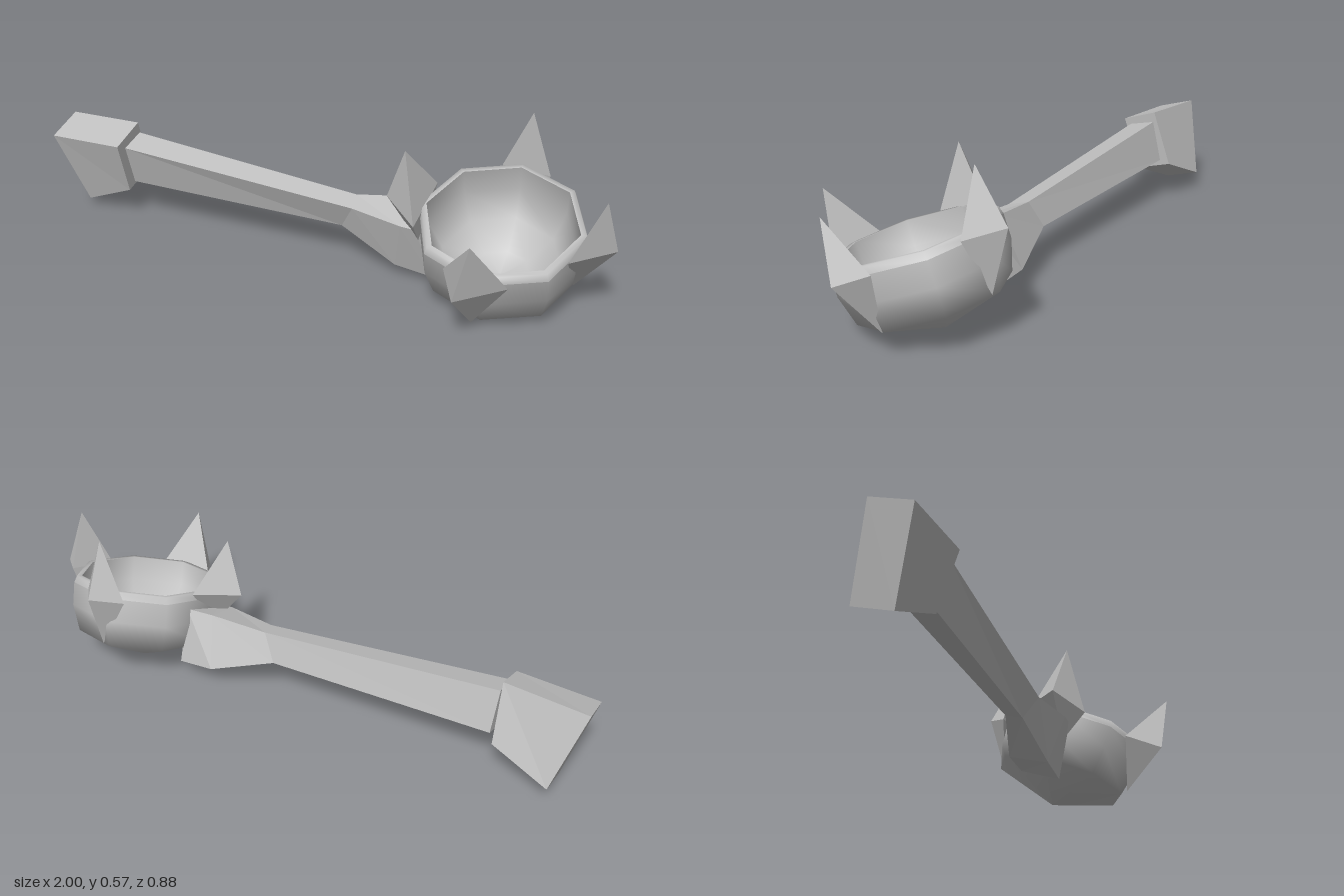
import * as THREE from 'three';
import { ConvexGeometry } from 'three/addons/geometries/ConvexGeometry.js';

const grey = new THREE.MeshStandardMaterial({ color: 0xc0c0c0 });
grey.name = 'stone grey';

function part(name, geometry) {
  const mesh = new THREE.Mesh(geometry, grey);
  mesh.name = name;
  return mesh;
}

// Flat-shaded loft through four-cornered sections running along +x.
// Corner order: top back, top front, bottom front, bottom back.
function loft(sections) {
  const pos = [];
  const tri = (a, b, c) => pos.push(...a, ...b, ...c);
  for (let s = 0; s < sections.length - 1; s++) {
    const p = sections[s], q = sections[s + 1];
    for (let i = 0; i < 4; i++) {
      const j = (i + 1) % 4;
      tri(p[i], p[j], q[j]);
      tri(p[i], q[j], q[i]);
    }
  }
  const a = sections[0], b = sections[sections.length - 1];
  tri(a[0], a[3], a[2]);
  tri(a[0], a[2], a[1]);
  tri(b[0], b[1], b[2]);
  tri(b[0], b[2], b[3]);
  const g = new THREE.BufferGeometry();
  g.setAttribute('position', new THREE.Float32BufferAttribute(pos, 3));
  g.computeVertexNormals();
  return g;
}

// Eight-sided turned surface, smooth along its profile of [radius, height]
function turned(name, profile) {
  const pts = profile.map(([r, y]) => new THREE.Vector2(r, y));
  return part(name, new THREE.LatheGeometry(pts, 8, THREE.MathUtils.degToRad(64)));
}

export function createModel() {
  const model = new THREE.Group();
  model.name = 'spikedLadle';

  // Tilted bowl: outer shell, bevelled lip and hollow inside
  const bowl = new THREE.Group();
  bowl.name = 'bowl';
  bowl.add(
    turned('bowlShell', [[0, -0.31], [0.25, -0.21], [0.278, -0.11], [0.277, -0.025]]),
    turned('bowlLip', [[0.277, -0.025], [0.268, 0], [0.25, 0]]),
    turned('bowlInside', [[0.25, 0], [0.245, -0.09], [0.2, -0.19], [0.1, -0.25], [0, -0.265]])
  );
  bowl.position.set(0.645, 0.3, -0.1);
  bowl.quaternion.setFromUnitVectors(
    new THREE.Vector3(0, 1, 0), new THREE.Vector3(0.14, 1, 0.29).normalize());
  model.add(bowl);

  // Spikes around the rim: tip, outer ridge, foot, two side corners
  const spikes = {
    frontSpike: [[0.757, 0.38, 0.25], [0.7, 0.173, 0.245], [0.68, 0.025, 0.1], [0.6, 0.21, 0.15], [0.81, 0.2, 0.11]],
    leftSpike: [[0.98, 0.45, -0.14], [0.997, 0.263, -0.208], [0.85, 0.08, -0.225], [0.9, 0.24, -0.08], [0.9, 0.29, -0.262]],
    backSpike: [[0.59, 0.573, -0.34], [0.55, 0.397, -0.44], [0.57, 0.175, -0.385], [0.49, 0.36, -0.335], [0.66, 0.36, -0.36]],
    rightSpike: [[0.367, 0.503, 0.05], [0.287, 0.315, 0.035], [0.4, 0.165, 0.0], [0.385, 0.34, -0.11], [0.43, 0.265, 0.08]]
  };
  for (const [name, pts] of Object.entries(spikes)) {
    model.add(part(name, new ConvexGeometry(pts.map(p => new THREE.Vector3(...p)))));
  }

  // Handle, flaring where it meets the bowl
  model.add(part('handle', loft([
    [[-0.71, 0.325, 0.235], [-0.68, 0.302, 0.33], [-0.695, 0.15, 0.285], [-0.715, 0.175, 0.195]],
    [[0.125, 0.253, -0.005], [0.16, 0.235, 0.06], [0.095, 0.14, 0.035], [0.07, 0.155, -0.02]],
    [[0.31, 0.275, -0.085], [0.35, 0.228, 0.045], [0.3, 0.047, 0], [0.265, 0.09, -0.145]],
    [[0.395, 0.285, -0.13], [0.4, 0.225, 0.03], [0.43, 0.03, -0.04], [0.39, 0.08, -0.18]]
  ])));

  // Heavy slanted block at the end of the handle
  model.add(part('handleEnd', loft([
    [[-1, 0.35, 0.3], [-0.96, 0.307, 0.435], [-0.91, 0.03, 0.335], [-0.945, 0.07, 0.205]],
    [[-0.715, 0.363, 0.235], [-0.68, 0.317, 0.365], [-0.705, 0.118, 0.305], [-0.742, 0.158, 0.172]]
  ])));

  return model;
}
